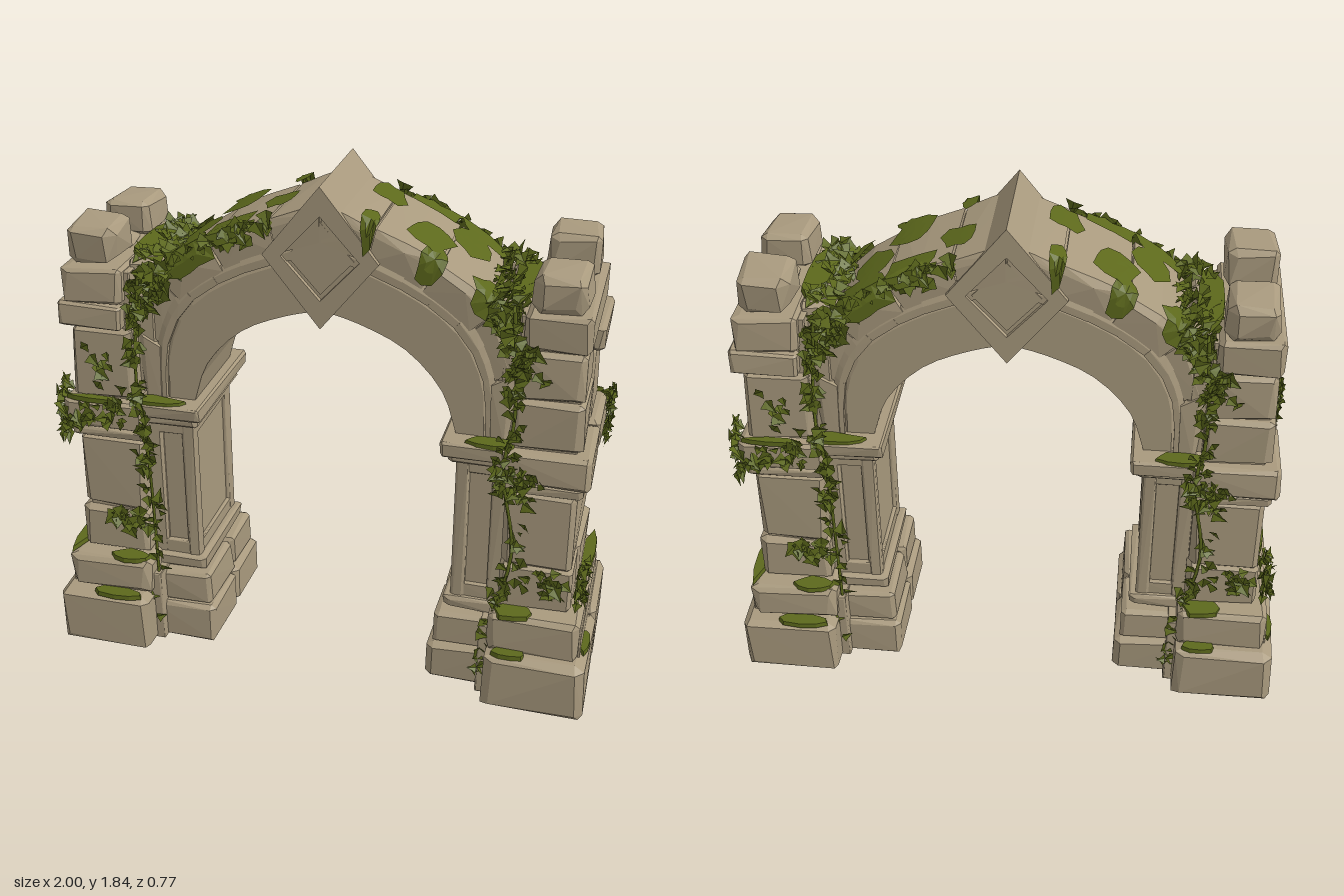
import * as THREE from 'three';
import { ConvexGeometry } from 'three/addons/geometries/ConvexGeometry.js';

const V = (x, y, z) => new THREE.Vector3(x, y, z);

export function createModel() {
  let seed = 11;
  const rnd = () => (seed = (seed * 16807) % 2147483647) / 2147483647;
  const jit = (a) => (rnd() * 2 - 1) * a;

  const stone = new THREE.MeshStandardMaterial({ color: 0xa99a7e });
  stone.name = 'stone';
  const ivy = new THREE.MeshStandardMaterial({ color: 0x5d691c, side: THREE.DoubleSide });
  ivy.name = 'ivy';

  const model = new THREE.Group();
  model.name = 'ruinedArch';
  const half = new THREE.Group();
  half.name = 'archHalf';

  const add = (name, geo, mat = stone, parent = half) => {
    const m = new THREE.Mesh(geo, mat);
    m.name = name;
    parent.add(m);
    return m;
  };

  // Worn stone: a chamfered box with uneven corners, given by its limits
  function block(name, x0, x1, y0, y1, z0, z1, c = 0.02, j = 0.008) {
    const pts = [];
    const lo = [x0, y0, z0], hi = [x1, y1, z1];
    for (let i = 0; i < 8; i++) {
      const s = [i & 1, (i >> 1) & 1, (i >> 2) & 1];
      const corner = s.map((b, a) => (b ? hi[a] - rnd() * j : lo[a] + rnd() * j));
      if (y0 === 0 && !s[1]) corner[1] = 0;
      for (let k = 0; k < 3; k++) {
        const d = c * (0.5 + rnd());
        pts.push(V(...corner.map((v, a) => (a === k ? v : v + (s[a] ? -d : d) * (a === 1 ? 0.7 : 1)))));
      }
    }
    return add(name, new ConvexGeometry(pts));
  }

  // Plinth of the tower and of the inner column
  block('plinthBlock', 0.63, 1.0, 0, 0.225, 0.0, 0.385, 0.025);
  block('plinthBlock', 0.63, 1.0, 0, 0.22, -0.385, 0.0, 0.025);
  block('plinthCore', 0.6, 0.97, 0.0, 0.3, -0.3, 0.3, 0.005);
  block('secondCourse', 0.63, 0.965, 0.215, 0.375, -0.02, 0.335, 0.025);
  block('secondCourse', 0.63, 0.96, 0.215, 0.36, -0.34, -0.02, 0.025);
  block('columnPlinth', 0.405, 0.68, 0, 0.155, -0.27, 0.0);
  block('columnPlinth', 0.405, 0.68, 0, 0.16, 0.0, 0.27);
  block('columnBase', 0.425, 0.68, 0.15, 0.285, -0.25, 0.03, 0.015);
  block('columnBase', 0.425, 0.68, 0.15, 0.285, 0.03, 0.25, 0.015);
  block('columnBaseMoulding', 0.452, 0.68, 0.28, 0.345, -0.22, 0.22, 0.015);

  // Tower courses
  block('towerCore', 0.67, 0.895, 0.3, 1.49, -0.24, 0.24, 0.005);
  block('shaftStone', 0.655, 0.92, 0.365, 0.545, 0.06, 0.265);
  block('shaftStone', 0.655, 0.925, 0.355, 0.535, -0.265, 0.06);
  block('shaftStone', 0.655, 0.91, 0.54, 0.84, -0.265, 0.265);
  block('beltMoulding', 0.645, 0.93, 0.835, 0.885, -0.275, 0.275, 0.012);
  block('beltStone', 0.635, 0.95, 0.88, 1.0, -0.01, 0.29);
  block('beltStone', 0.635, 0.95, 0.88, 1.0, -0.29, -0.01);
  block('upperStone', 0.67, 0.915, 0.995, 1.19, 0.0, 0.265);
  block('upperStone', 0.67, 0.91, 0.995, 1.275, -0.265, 0.0);
  block('upperStone', 0.68, 0.905, 1.185, 1.365, -0.005, 0.262);
  block('ledgeStone', 0.7, 0.94, 1.275, 1.37, -0.285, 0.02, 0.014);
  block('capStone', 0.69, 0.915, 1.365, 1.505, -0.28, 0.275);
  block('brokenStone', 0.7, 0.895, 1.49, 1.635, 0.06, 0.275, 0.03, 0.02);
  block('brokenStone', 0.7, 0.895, 1.49, 1.65, -0.28, -0.06, 0.03, 0.02);
  block('rubble', 0.74, 0.87, 1.48, 1.54, -0.1, 0.1, 0.03, 0.02);

  // Inner column with sunken panels
  block('columnCore', 0.495, 0.68, 0.32, 0.92, -0.18, 0.18, 0.004, 0.002);
  for (const s of [-1, 1]) {
    const zr = (a, b) => (s > 0 ? [a, b] : [-b, -a]);
    block('columnEdge', 0.478, 0.53, 0.33, 0.91, ...zr(0.145, 0.2), 0.008, 0.004);
    block('columnEdge', 0.605, 0.67, 0.33, 0.91, ...zr(0.145, 0.2), 0.008, 0.004);
    for (const y of [0.335, 0.85]) block('columnRail', 0.5, 0.65, y, y + 0.06, ...zr(0.15, 0.197), 0.005, 0.003);
  }
  for (const y of [0.335, 0.85]) block('columnRail', 0.481, 0.55, y, y + 0.06, -0.17, 0.17, 0.005, 0.003);
  block('capitalNeck', 0.455, 0.68, 0.9, 0.945, -0.235, 0.235, 0.012, 0.004);
  block('capitalSlab', 0.43, 0.68, 0.94, 1.0, -0.275, 0.275, 0.012, 0.006);

  // Arch between an inner and an outer curve, t from spring to crown
  const curve = (pts) => new THREE.CatmullRomCurve3(pts.map(([x, y]) => V(x, y, 0)));
  const inner = curve([[0.475, 0.99], [0.42, 1.15], [0.29, 1.29], [0.13, 1.365], [0, 1.4]]);
  const outer = curve([[0.655, 0.99], [0.665, 1.25], [0.59, 1.46], [0.4, 1.61], [0.18, 1.71], [0, 1.78]]);
  const at = (t, u, z) => inner.getPoint(t).lerp(outer.getPoint(t), u).setZ(z);

  function ring(name, n, u0, u1, z, j, gap) {
    for (let i = 0; i < n; i++) {
      const pts = [];
      const dz = jit(j);
      for (const f of [gap, 0.5, 1 - gap]) {
        for (const s of [-1, 1]) {
          const t = (i + f) / n;
          if (f !== 0.5 || u0 > 0.5) pts.push(at(t, u1 + jit(j), s * (z + dz - 0.012)), at(t, u1 - 0.08, s * (z + dz + jit(j * 0.4))));
          if (f !== 0.5) pts.push(at(t, u0, s * (z + dz)));
        }
      }
      add(name, new ConvexGeometry(pts));
    }
  }
  ring('archSoffit', 12, 0, 0.6, 0.19, 0, 0);
  ring('archMoulding', 9, 0.56, 0.72, 0.205, 0.002, 0);
  ring('archBacking', 10, 0.6, 0.96, 0.18, 0, 0);
  ring('archTopStone', 5, 0.66, 1, 0.2, 0.014, 0.02);

  // Broken stones at the shoulder where the arch meets the tower
  block('shoulderStone', 0.6, 0.74, 1.0, 1.4, -0.2, 0.2);
  block('shoulderStone', 0.56, 0.72, 1.36, 1.5, 0.0, 0.2, 0.03, 0.03);
  block('shoulderStone', 0.57, 0.72, 1.36, 1.53, -0.2, 0.0, 0.03, 0.03);

  // Moss pads lying on ledges
  function pad(x, y, z, rx, rz) {
    const pts = [];
    for (let i = 0; i < 9; i++) {
      const a = (i / 9) * Math.PI * 2, r = 0.7 + rnd() * 0.45;
      for (const [h, k] of [[-0.012, 1], [0.006, 0.95]]) pts.push(V(x + Math.cos(a) * rx * r * k, y + h, z + Math.sin(a) * rz * r * k));
    }
    add('mossPad', new ConvexGeometry(pts), ivy);
  }
  pad(0.72, 0.228, 0.345, 0.08, 0.035);
  pad(0.975, 0.226, 0.2, 0.02, 0.07);
  pad(0.75, 0.226, -0.35, 0.1, 0.035);
  pad(0.94, 0.372, -0.16, 0.03, 0.15);
  pad(0.72, 0.37, 0.29, 0.08, 0.05);
  pad(0.72, 0.365, -0.3, 0.09, 0.045);
  pad(0.6, 1.004, 0.24, 0.1, 0.035);
  pad(0.6, 1.004, -0.24, 0.12, 0.035);
  pad(0.82, 1.003, -0.275, 0.1, 0.015);
  pad(0.67, 1.52, 0.02, 0.06, 0.2);

  // Moss draped over the top of the arch
  function drape(t, z, rt, rz) {
    const pos = [], n = 11;
    const surf = (tt, zz) => {
      const over = Math.max(0, Math.abs(zz) - 0.2);
      const q = THREE.MathUtils.clamp(tt, 0, 0.98);
      return at(q, 1.07 - over * 4, Math.sign(zz) * Math.min(Math.abs(zz), 0.222));
    };
    const edge = Array.from({ length: n }, () => 0.65 + rnd() * 0.5);
    const p = (i, k) => {
      const a = (i / n) * Math.PI * 2, r = edge[i % n] * k;
      return surf(t + Math.cos(a) * rt * r, z + Math.sin(a) * rz * r);
    };
    for (let i = 0; i < n; i++) {
      const a = p(i, 0.5), b = p(i + 1, 0.5), c = p(i, 1), d = p(i + 1, 1);
      for (const v of [surf(t, z), a, b, a, c, b, b, c, d]) pos.push(v.x, v.y, v.z);
    }
    const g = new THREE.BufferGeometry();
    g.setAttribute('position', new THREE.Float32BufferAttribute(pos, 3));
    g.computeVertexNormals();
    add('archMoss', g, ivy);
  }
  drape(0.82, -0.08, 0.06, 0.09);
  drape(0.82, 0.19, 0.035, 0.09);
  drape(0.68, -0.18, 0.08, 0.08);
  drape(0.66, 0.08, 0.07, 0.1);
  drape(0.62, 0.21, 0.05, 0.08);
  drape(0.55, -0.05, 0.06, 0.12);
  drape(0.52, -0.2, 0.09, 0.1);
  drape(0.45, 0.17, 0.06, 0.09);

  // Ivy leaves: folded five-point kites scattered about a path
  function leaves(name, path, spread, normal, count, size = 0.04) {
    const pos = [];
    const line = new THREE.CatmullRomCurve3(path.length > 1 ? path : [path[0], path[0].clone().addScalar(0.001)]);
    for (let i = 0; i < count; i++) {
      const c = line.getPoint(rnd()).add(V(jit(spread.x), jit(spread.y), jit(spread.z)));
      const n = normal.clone().add(V(jit(0.6), jit(0.6), jit(0.6))).normalize();
      const d = V(jit(0.8), -0.5 + jit(0.7), jit(0.8)).projectOnPlane(n).normalize();
      const w = d.clone().cross(n);
      const s = size * (0.7 + rnd() * 0.6);
      const q = (a, b, h) => c.clone().addScaledVector(d, a * s).addScaledVector(w, b * s).addScaledVector(n, h * s);
      const base = q(-0.4, 0, 0), tip = q(0.8, 0, -0.1);
      for (const m of [1, -1]) {
        const side = q(-0.15, 0.6 * m, 0.25), notch = q(0.2, 0.3 * m, 0.1);
        const tris = m > 0 ? [base, notch, side, base, tip, notch] : [base, side, notch, base, notch, tip];
        for (const v of tris) pos.push(v.x, v.y, v.z);
      }
    }
    const g = new THREE.BufferGeometry();
    g.setAttribute('position', new THREE.Float32BufferAttribute(pos, 3));
    g.computeVertexNormals();
    add(name, g, ivy);
  }
  const F = V(0, 0, 1), B = V(0, 0, -1), R = V(1, 0, 0), U = V(-0.4, 1, 0);
  // Hanging vines on the front and back
  leaves('frontVine', [V(0.66, 1.5, 0.26), V(0.68, 1.2, 0.28), V(0.66, 0.95, 0.3), V(0.72, 0.6, 0.28), V(0.66, 0.42, 0.28)], V(0.035, 0.03, 0.012), F, 75);
  leaves('frontVineLow', [V(0.64, 0.4, 0.28), V(0.61, 0.08, 0.3)], V(0.02, 0.02, 0.01), F, 18);
  leaves('backVine', [V(0.64, 1.5, -0.24), V(0.66, 1.2, -0.28), V(0.64, 0.95, -0.3), V(0.63, 0.6, -0.27), V(0.62, 0.1, -0.3)], V(0.03, 0.03, 0.012), B, 85);
  const stems = [[V(0.66, 1.5, 0.262), V(0.68, 1.1, 0.272), V(0.655, 0.95, 0.296), V(0.7, 0.6, 0.272), V(0.64, 0.3, 0.28), V(0.61, 0.1, 0.28)],
    [V(0.64, 1.5, -0.24), V(0.66, 1.1, -0.27), V(0.63, 0.95, -0.297), V(0.63, 0.6, -0.265), V(0.615, 0.1, -0.285)]];
  for (const s of stems) add('vineStem', new THREE.TubeGeometry(new THREE.CatmullRomCurve3(s), 20, 0.006, 4), ivy);
  // Clumps
  leaves('frontClump', [V(0.68, 1.34, 0.275), V(0.73, 1.3, 0.285)], V(0.05, 0.05, 0.012), F, 26, 0.05);
  leaves('frontBeltClump', [V(0.68, 0.92, 0.3), V(0.76, 0.85, 0.29)], V(0.05, 0.06, 0.01), F, 24);
  leaves('frontLowClump', [V(0.78, 0.52, 0.28), V(0.93, 0.45, 0.27)], V(0.04, 0.05, 0.015), F, 22);
  leaves('backClump', [V(0.7, 0.53, -0.28), V(0.76, 0.5, -0.28)], V(0.05, 0.04, 0.012), B, 20, 0.05);
  leaves('backBeltClump', [V(0.72, 0.97, -0.3), V(0.94, 0.93, -0.3)], V(0.02, 0.05, 0.01), B, 34);
  leaves('backSideClump', [V(0.8, 1.2, -0.275), V(0.76, 1.05, -0.28)], V(0.05, 0.05, 0.01), B, 10);
  leaves('sideLowClump', [V(0.945, 0.47, 0.26), V(0.945, 0.47, 0.08)], V(0.02, 0.06, 0.03), R, 46);
  leaves('sideBeltClump', [V(0.96, 1.02, -0.22), V(0.95, 0.84, -0.27)], V(0.012, 0.04, 0.05), R, 40);
  leaves('shoulderIvy', [V(0.63, 1.51, 0.2), V(0.63, 1.53, -0.2)], V(0.06, 0.02, 0.03), U, 60, 0.055);
  leaves('archRimIvy', [at(0.35, 0.95, -0.215), at(0.5, 0.98, -0.21), at(0.8, 1, -0.205)], V(0.025, 0.03, 0.012), V(0, 0.4, -1), 45, 0.045);
  leaves('shoulderFrontIvy', [V(0.6, 1.44, 0.215), V(0.67, 1.4, 0.23)], V(0.03, 0.05, 0.012), F, 26, 0.05);
  leaves('shoulderBackIvy', [V(0.58, 1.46, -0.215), V(0.66, 1.38, -0.235)], V(0.04, 0.06, 0.012), B, 34, 0.055);

  // The other half is the same half turned about the centre
  const other = half.clone();
  other.rotation.y = Math.PI;
  model.add(half, other);

  // Diamond keystone with a sunken border
  const diamond = (w, h, C = THREE.Shape) => new C([[0, -h], [w, 0], [0, h], [-w, 0]].map(([x, y]) => new THREE.Vector2(x, y)));
  const slab = (name, shape, z) => {
    const g = new THREE.ExtrudeGeometry(shape, { depth: z * 2, bevelEnabled: false });
    g.translate(0, 1.593, -z);
    add(name, g, stone, model);
  };
  const frame = diamond(0.2, 0.25);
  frame.holes.push(diamond(0.135, 0.135 * 1.1, THREE.Path));
  slab('keystoneFrame', frame, 0.217);
  slab('keystoneBody', diamond(0.198, 0.248), 0.2);
  slab('keystonePanel', diamond(0.115, 0.127), 0.21);
  return model;
}
